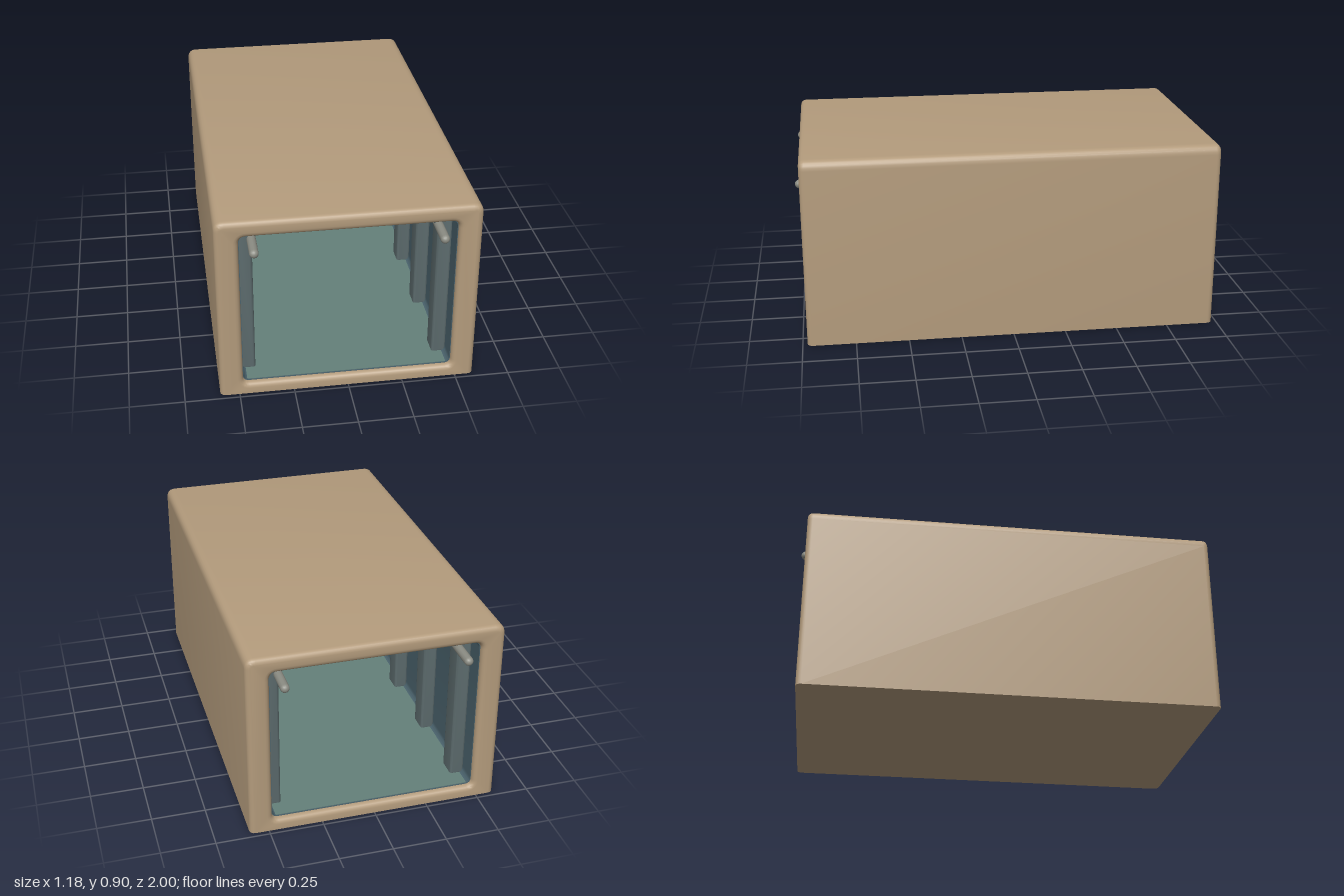
import * as THREE from 'three';
import { toCreasedNormals } from 'three/addons/utils/BufferGeometryUtils.js';

const HALF_LENGTH = 0.978;
const paint = (color) => new THREE.MeshStandardMaterial({ color });

// Rectangle outline with separate bottom and top corner radii
function outline(target, w, y0, y1, rBottom, rTop) {
  target.moveTo(-w + rBottom, y0);
  target.lineTo(w - rBottom, y0);
  if (rBottom) target.quadraticCurveTo(w, y0, w, y0 + rBottom);
  target.lineTo(w, y1 - rTop);
  target.quadraticCurveTo(w, y1, w - rTop, y1);
  target.lineTo(-w + rTop, y1);
  target.quadraticCurveTo(-w, y1, -w, y1 - rTop);
  target.lineTo(-w, y0 + rBottom);
  if (rBottom) target.quadraticCurveTo(-w, y0, -w + rBottom, y0);
  return target;
}

// Extrusion centred on z = 0 with its overall length including the bevel
function extrude(shape, length, bevel) {
  const geometry = new THREE.ExtrudeGeometry(shape, {
    depth: length - 2 * bevel,
    bevelEnabled: bevel > 0,
    bevelThickness: bevel,
    bevelSize: bevel,
    bevelOffset: -bevel,
    bevelSegments: 4,
    curveSegments: 6,
  });
  return geometry.translate(0, 0, -length / 2 + bevel);
}

function add(group, name, geometry, material, x = 0, y = 0, z = 0) {
  const mesh = new THREE.Mesh(geometry, material);
  mesh.name = name;
  mesh.position.set(x, y, z);
  group.add(mesh);
  return mesh;
}

export function createModel() {
  const model = new THREE.Group();
  model.name = 'tunnelSection';

  const tan = paint(0xb39b7c);
  const wallBlue = paint(0x4a626c);
  const floorGreen = paint(0x64807a);
  const ribGrey = paint(0x5d6c6e);
  const pipeGrey = paint(0x8c8d84);
  const teal = paint(0x35a5a3);

  // Outer shell: rounded rims at both ends, flat underside with sharp edges
  const shellShape = outline(new THREE.Shape(), 0.588, 0, 0.9, 0, 0.045);
  shellShape.holes.push(outline(new THREE.Path(), 0.482, 0.053, 0.822, 0.03, 0.035));
  const shell = extrude(shellShape, 2 * HALF_LENGTH, 0.025);
  const p = shell.attributes.position;
  for (let i = 0; i < p.count; i++) {
    if (p.getY(i) < 0.0255) p.setY(i, 0);
  }
  add(model, 'outerShell', toCreasedNormals(shell, 0.6), tan);

  // Thin lining of the walls and ceiling
  const liningShape = outline(new THREE.Shape(), 0.484, 0.051, 0.824, 0.03, 0.035);
  liningShape.holes.push(outline(new THREE.Path(), 0.479, 0.056, 0.819, 0.03, 0.035));
  add(model, 'innerLining', toCreasedNormals(extrude(liningShape, 1.9, 0), 0.6), wallBlue);

  // Floor plate
  add(model, 'floor', new THREE.BoxGeometry(0.94, 0.01, 1.89), floorGreen, 0, 0.053, 0);

  // Five portal ribs: two posts and a ceiling beam each
  const ribShape = new THREE.Shape();
  const inner = 0.415, top = 0.757, chamfer = 0.02;
  ribShape.moveTo(-0.482, 0.05);
  ribShape.lineTo(-inner, 0.05);
  ribShape.lineTo(-inner, top - chamfer);
  ribShape.lineTo(-inner + chamfer, top);
  ribShape.lineTo(inner - chamfer, top);
  ribShape.lineTo(inner, top - chamfer);
  ribShape.lineTo(inner, 0.05);
  ribShape.lineTo(0.482, 0.05);
  ribShape.lineTo(0.482, 0.822);
  ribShape.lineTo(-0.482, 0.822);
  const ribGeometry = toCreasedNormals(extrude(ribShape, 0.1, 0.012), 0.6);
  const ribs = new THREE.Group();
  ribs.name = 'ribs';
  model.add(ribs);
  for (let i = -2; i <= 2; i++) add(ribs, 'rib', ribGeometry, ribGrey, 0, 0, i * 0.405);

  // Pipes running along both upper corners
  const pipeGeometry = new THREE.CapsuleGeometry(0.021, 1.958, 6, 12).rotateX(Math.PI / 2);
  for (const side of [-1, 1]) {
    add(model, side > 0 ? 'leftPipe' : 'rightPipe', pipeGeometry, pipeGrey, side * 0.418, 0.745, 0);
  }

  // Shallow light strip along the middle of the ceiling
  const strip = new THREE.CapsuleGeometry(0.05, 1.76, 6, 16).rotateX(Math.PI / 2).scale(1, 0.4, 1);
  add(model, 'lightStrip', strip, teal, 0, 0.818, 0);

  return model;
}
